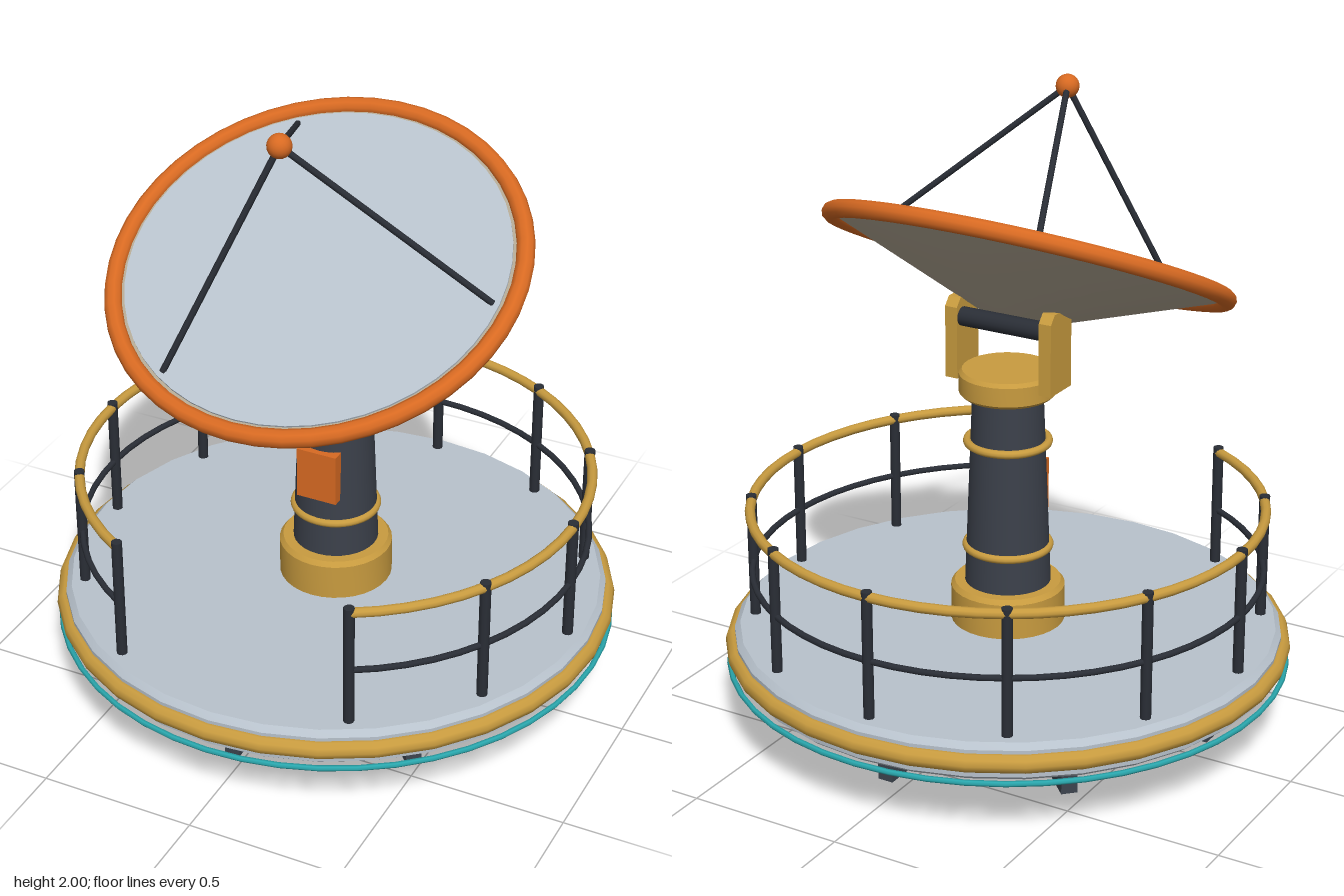
import * as THREE from 'three';
import { toCreasedNormals } from 'three/addons/utils/BufferGeometryUtils.js';

const mat = (name, color) => Object.assign(new THREE.MeshStandardMaterial({ color }), { name });
const M = {
  light: mat('pale grey', 0xb8c2cc),
  dark: mat('charcoal', 0x3b404a),
  black: mat('dark steel', 0x2a2e36),
  slate: mat('slate', 0x3c444e),
  gold: mat('ochre', 0xc89b3f),
  orange: mat('orange', 0xd86a22),
  teal: mat('teal', 0x2aa8ae),
  tan: mat('warm grey', 0xb3a894),
};

function add(parent, name, geo, material, x = 0, y = 0, z = 0) {
  const mesh = new THREE.Mesh(geo, material);
  mesh.name = name;
  mesh.position.set(x, y, z);
  parent.add(mesh);
  return mesh;
}

// Turned solid from [radius, height] pairs, bottom to top
const turned = (pts, segs = 32) => toCreasedNormals(
  new THREE.LatheGeometry(pts.map(([r, y]) => new THREE.Vector2(r, y)), segs), 0.45);

// Horizontal ring, or an arc starting at an angle measured from +x towards +z
const ring = (r, tube, segs = 40, start = 0, arc = Math.PI * 2, sides = 10) =>
  new THREE.TorusGeometry(r, tube, sides, segs, arc).rotateZ(start).rotateX(Math.PI / 2);

// Cylinder between two points
function rod(a, b, r) {
  const dir = b.clone().sub(a);
  const geo = new THREE.CylinderGeometry(r, r, dir.length(), 8);
  geo.applyQuaternion(new THREE.Quaternion().setFromUnitVectors(new THREE.Vector3(0, 1, 0), dir.normalize()));
  const mid = a.clone().add(b).multiplyScalar(0.5);
  return geo.translate(mid.x, mid.y, mid.z);
}

function createPlatform() {
  const g = new THREE.Group();
  g.name = 'platform';
  add(g, 'deck', turned([[0, 0.2], [0.85, 0.2], [0.868, 0.215], [0.868, 0.302], [0.85, 0.32], [0, 0.32]]), M.light);
  add(g, 'deckBumper', ring(0.868, 0.03, 32), M.gold);
  g.children[1].position.y = 0.262;
  add(g, 'glowRing', ring(0.886, 0.009, 48, 0, Math.PI * 2, 6), M.teal, 0, 0.205);
  add(g, 'hub', turned([[0, 0], [0.375, 0], [0.395, 0.008], [0.413, 0.05], [0.45, 0.175], [0.45, 0.2], [0, 0.2]]), M.dark);
  // Radial support fins
  for (let i = 0; i < 8; i++) {
    const fin = new THREE.BoxGeometry(0.37, 0.132, 0.05).translate(0.54, 0, 0).rotateY(i * Math.PI / 4);
    add(g, 'fin', fin, M.slate, 0, 0.136);
  }
  return g;
}

function createRailing() {
  const g = new THREE.Group();
  g.name = 'railing';
  // Opening faces the front
  const gap = 0.5, R = 0.805, start = Math.PI / 2 + gap, arc = Math.PI * 2 - 2 * gap;
  add(g, 'handRail', ring(R, 0.016, 50, start, arc), M.gold, 0, 0.71);
  add(g, 'midRail', ring(R, 0.01, 50, start, arc, 8), M.black, 0, 0.505);
  for (let i = 0; i <= 10; i++) {
    const a = start + arc * i / 10;
    add(g, 'post', new THREE.CylinderGeometry(0.017, 0.017, 0.41, 10), M.black, R * Math.cos(a), 0.523, R * Math.sin(a));
  }
  return g;
}

function createPedestal() {
  const g = new THREE.Group();
  g.name = 'pedestal';
  add(g, 'collar', turned([[0, 0.31], [0.18, 0.31], [0.18, 0.435], [0.168, 0.45], [0, 0.45]]), M.gold);
  add(g, 'column', new THREE.CylinderGeometry(0.11, 0.136, 0.65, 32), M.dark, 0, 0.765);
  add(g, 'lowerBand', ring(0.131, 0.013), M.gold, 0, 0.57);
  add(g, 'upperBand', ring(0.127, 0.013), M.gold, 0, 0.92);
  add(g, 'cap', turned([[0, 1.075], [0.142, 1.075], [0.152, 1.085], [0.152, 1.145], [0.142, 1.157], [0, 1.157]]), M.gold);
  add(g, 'accessPanel', new THREE.BoxGeometry(0.134, 0.17, 0.04), M.orange, 0, 0.74, 0.12);

  // Yoke arms with clipped top corners
  const arm = new THREE.Shape([[-0.063, 1.115], [0.063, 1.115], [0.063, 1.345], [0.04, 1.372],
    [-0.04, 1.372], [-0.063, 1.345]].map(([x, y]) => new THREE.Vector2(x, y)));
  for (const s of [-1, 1]) {
    const geo = new THREE.ExtrudeGeometry(arm, { depth: 0.042, bevelEnabled: false });
    geo.translate(0, 0, -0.021).rotateY(Math.PI / 2);
    add(g, 'yokeArm', geo, M.gold, s * 0.165);
  }
  add(g, 'tiltAxle', new THREE.CylinderGeometry(0.03, 0.03, 0.32, 16).rotateZ(Math.PI / 2), M.black, 0, 1.31, -0.03);
  return g;
}

// Dish is built facing up, then tilted towards the front
function createDish() {
  const g = new THREE.Group();
  g.name = 'dish';
  const shell = [[0, -0.187], [0.118, -0.187], [0.605, -0.005], [0.605, 0.004], [0, 0.004]];
  add(g, 'dishShell', turned(shell, 48), M.tan);
  add(g, 'dishFace', new THREE.CylinderGeometry(0.586, 0.586, 0.008, 48), M.light, 0, 0.006);
  add(g, 'dishRim', ring(0.622, 0.028, 48), M.orange);
  const focus = new THREE.Vector3(0, 0.54, 0);
  for (let i = 0; i < 3; i++) {
    const a = i * Math.PI * 2 / 3;
    add(g, 'feedStrut', rod(new THREE.Vector3(0.565 * Math.cos(a), 0.008, 0.565 * Math.sin(a)), focus, 0.01), M.black);
  }
  add(g, 'feedBall', new THREE.SphereGeometry(0.037, 20, 14), M.orange, 0, 0.54);
  g.position.set(0, 1.478, 0.127);
  g.rotation.x = 0.448;
  return g;
}

export function createModel() {
  const model = new THREE.Group();
  model.name = 'dishStation';
  model.add(createPlatform(), createRailing(), createPedestal(), createDish());
  return model;
}
